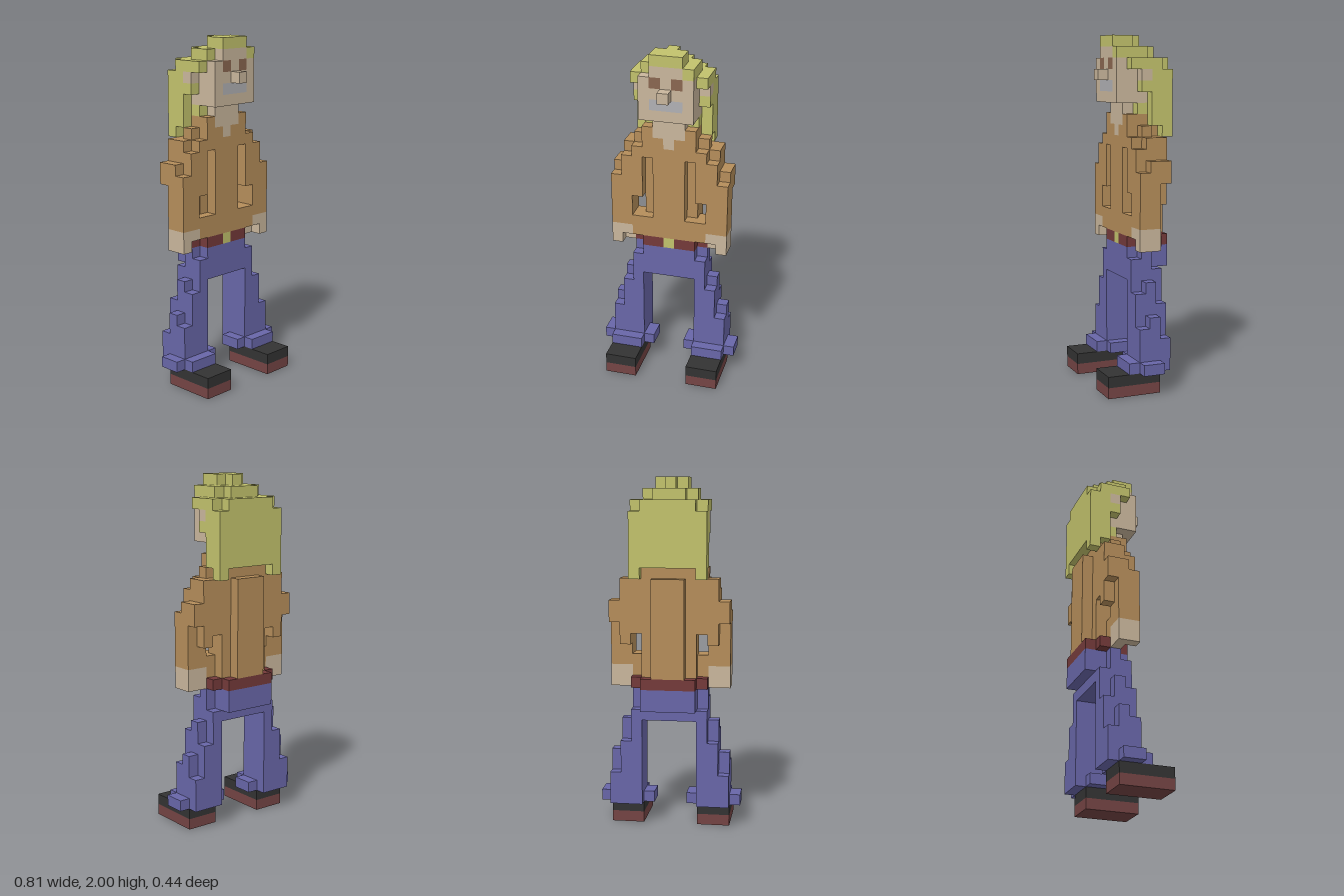
import * as THREE from 'three';

const U = 2 / 32; // size of one block
const mat = (color) => new THREE.MeshStandardMaterial({ color });

export function createModel() {
  const model = new THREE.Group();
  const M = {
    hair: mat(0xc2c26c), skin: mat(0xc9b69c), coat: mat(0xb58d5a), denim: mat(0x6866a8),
    black: mat(0x333333), sole: mat(0x744444), belt: mat(0x743a3a), eye: mat(0x8a6650), lip: mat(0xb0b0b4),
  };

  // Boxes are inclusive block ranges: [x0, x1, y0, y1, z0, z1]
  function part(name, material, boxes, mirrored = false) {
    const group = new THREE.Group();
    group.name = name;
    for (const [x0, x1, y0, y1, z0, z1] of boxes) {
      const geo = new THREE.BoxGeometry((x1 - x0 + 1) * U, (y1 - y0 + 1) * U, (z1 - z0 + 1) * U);
      for (const side of mirrored ? [1, -1] : [1]) {
        const mesh = new THREE.Mesh(geo, material);
        mesh.name = mirrored ? (side > 0 ? 'left ' : 'right ') + name : name;
        mesh.position.set(side * (x0 + x1) / 2 * U, (y0 + y1 + 1) / 2 * U, (z0 + z1) / 2 * U);
        group.add(mesh);
      }
    }
    model.add(group);
  }

  // Shoes
  part('sole', M.sole, [[3, 5, 0, 0, -1, 3]], true);
  part('shoe', M.black, [[3, 5, 1, 1, -1, 3]], true);

  // Trousers: flared cuff, stepped shin and thigh
  part('cuff', M.denim, [[3, 5, 2, 2, -2, 1], [2, 6, 2, 2, -1, 0]], true);
  part('leg', M.denim, [
    [5, 5, 3, 5, 0, 0], [5, 5, 3, 6, -1, -1], [5, 5, 3, 4, -2, -2],
    [4, 4, 3, 8, 0, 0], [4, 4, 3, 9, -1, -1], [4, 4, 3, 7, -2, -2],
    [3, 3, 3, 11, 0, 0], [3, 3, 3, 12, -1, -1], [3, 3, 3, 10, -2, -2],
  ], true);
  part('hips', M.denim, [[-2, 2, 10, 12, -2, 0], [-2, 2, 11, 12, -3, -3]]);

  // Belt and buckle
  part('belt', M.belt, [[-2, -1, 13, 13, 0, 0], [1, 2, 13, 13, 0, 0], [-3, 3, 13, 13, -2, -1], [-2, 2, 13, 13, -3, -3]]);
  part('buckle', M.hair, [[0, 0, 13, 13, 0, 0]]);

  // Jacket body with a raised back panel
  part('jacket', M.coat, [
    [-2, 2, 14, 23, -2, -1], [-1, 1, 14, 22, 0, 0], [-2, 2, 14, 15, 0, 0],
    [-3, 3, 14, 15, -1, -1], [-1, 1, 14, 22, -3, -3],
  ]);
  part('jacketSide', M.coat, [
    [3, 3, 14, 15, 0, 0], [2, 2, 22, 24, 0, 0], [1, 1, 23, 23, 0, 0], [2, 2, 24, 24, -1, -1],
  ], true);

  // Sleeves, stepping out from the shoulder
  part('sleeve', M.coat, [
    [5, 5, 15, 19, 0, 0], [5, 5, 15, 20, -1, -1], [5, 5, 19, 20, -2, -2],
    [4, 4, 15, 21, 0, 0], [4, 4, 15, 22, -1, -1], [4, 4, 17, 22, -2, -2],
    [3, 3, 18, 22, 0, 0], [3, 3, 18, 23, -1, -1], [3, 3, 18, 22, -2, -2],
  ], true);
  part('hand', M.skin, [[4, 5, 14, 14, -1, 0], [5, 5, 13, 13, -1, 0], [4, 4, 13, 13, -1, -1]], true);

  // Neck and face
  part('neck', M.skin, [[-1, 1, 24, 25, -1, 0], [0, 0, 23, 23, 0, 0]]);
  part('head', M.skin, [[-2, 2, 26, 28, -1, 0], [-2, 2, 26, 26, 1, 1], [-1, 1, 28, 28, 1, 1], [0, 0, 29, 29, 1, 1], [-1, 1, 30, 30, 1, 1]]);
  part('cheek', M.skin, [[2, 2, 27, 29, 1, 1]], true);
  part('ear', M.skin, [[3, 3, 28, 28, -1, -1]], true);
  part('nose', M.skin, [[0, 0, 28, 28, 2, 2]]);
  part('eye', M.eye, [[1, 1, 29, 29, 1, 1]], true);
  part('mouth', M.lip, [[-1, 1, 27, 27, 1, 1]]);

  // Hair: stepped crown, fringe lock on one side, long back and side locks
  part('crown', M.hair, [
    [-1, 1, 31, 31, 0, 1], [0, 0, 31, 31, -1, -1],
    [-2, 2, 30, 30, -1, 0], [-1, 1, 30, 30, -2, -2], [2, 2, 30, 30, 1, 1],
    [-3, 3, 29, 29, -2, 0],
  ]);
  part('backHair', M.hair, [[-2, 2, 24, 29, -3, -3], [-2, 2, 24, 28, -2, -2]]);
  part('sideLock', M.hair, [
    [3, 3, 24, 28, -2, -2], [3, 3, 23, 28, -3, -3], [3, 3, 27, 27, -1, -1], [2, 2, 25, 25, -2, -1],
  ], true);

  return model;
}
